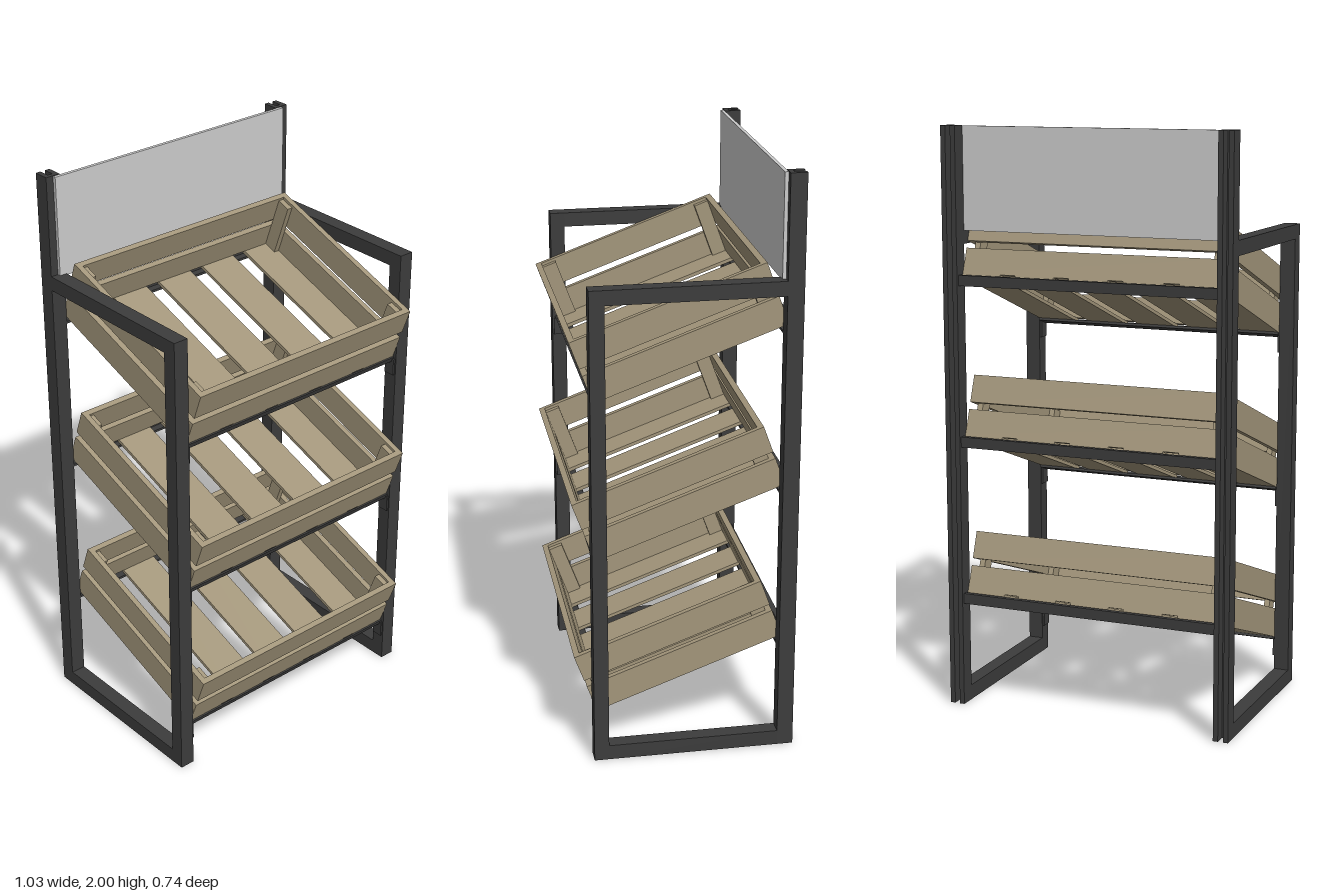
import * as THREE from 'three';

const metal = new THREE.MeshStandardMaterial({ color: 0x3c3c3c });
const wood = new THREE.MeshStandardMaterial({ color: 0xa3967b });
const grey = new THREE.MeshStandardMaterial({ color: 0xcccccc });

// Box given by its min / max corners
function box(parent, name, mat, [x0, x1], [y0, y1], [z0, z1]) {
  const mesh = new THREE.Mesh(new THREE.BoxGeometry(x1 - x0, y1 - y0, z1 - z0), mat);
  mesh.position.set((x0 + x1) / 2, (y0 + y1) / 2, (z0 + z1) / 2);
  mesh.name = name;
  parent.add(mesh);
  return mesh;
}

// Range mirrored to the given side
const side = (s, a, b) => (s > 0 ? [a, b] : [-b, -a]);

const TILT = THREE.MathUtils.degToRad(20);
const W = 0.46;   // half width of a crate
const L = 0.675;  // depth of a crate
const T = 0.02;   // board thickness

function sideFrame(s) {
  const g = new THREE.Group();
  g.name = s > 0 ? 'leftFrame' : 'rightFrame';
  const x = side(s, 0.462, 0.515);
  box(g, 'frontPost', metal, x, [0, 1.655], [0.265, 0.315]);
  box(g, 'topRail', metal, x, [1.605, 1.655], [-0.32, 0.265]);
  box(g, 'bottomRail', metal, x, [0, 0.052], [-0.32, 0.265]);

  // Tall back post: channel open to the rear
  const shape = new THREE.Shape([
    [-0.0265, -0.0275], [0.0265, -0.0275], [0.0265, 0.0275], [0.009, 0.0275],
    [0.009, -0.012], [-0.009, -0.012], [-0.009, 0.0275], [-0.0265, 0.0275],
  ].map(([a, b]) => new THREE.Vector2(a, b)));
  const geo = new THREE.ExtrudeGeometry(shape, { depth: 2, bevelEnabled: false });
  geo.rotateX(-Math.PI / 2);
  const post = new THREE.Mesh(geo, metal);
  post.name = 'backPost';
  post.position.set(s * 0.4885, 0, -0.3445);
  g.add(post);
  return g;
}

// Origin at the lower front edge, depth running to -z
function crate() {
  const g = new THREE.Group();
  g.name = 'crate';
  for (let i = -2; i <= 2; i++) {
    const c = i * 0.195;
    box(g, 'floorSlat', wood, [c - 0.07, c + 0.07], [0, 0.012], [-L, 0]);
  }
  for (const y of [[0.012, 0.1], [0.125, 0.22]]) {
    box(g, 'frontBoard', wood, [-W, W], y, [-T, 0]);
    box(g, 'backBoard', wood, [-W, W], y, [-L, -L + T]);
    for (const s of [-1, 1]) box(g, 'sideBoard', wood, side(s, W - T, W), y, [-L + T, -T]);
  }
  for (const s of [-1, 1]) {
    for (const z of [[-T - 0.05, -T], [-L + T, -L + T + 0.05]]) {
      box(g, 'cornerPost', wood, side(s, W - 2 * T, W - T), [0.012, 0.21], z);
    }
  }
  // Angle bar carrying the front edge
  box(g, 'frontBar', metal, [-W, W], [-0.009, 0], [-0.04, 0.006]);
  box(g, 'frontBarLip', metal, [-W, W], [-0.009, 0.01], [0.0005, 0.006]);
  g.rotation.x = TILT;
  return g;
}

export function createModel() {
  const model = new THREE.Group();
  model.name = 'displayRack';
  for (const s of [-1, 1]) model.add(sideFrame(s));

  // Three tilted crates with their supports
  for (let i = 0; i < 3; i++) {
    const shelf = new THREE.Group();
    shelf.name = 'shelf';
    shelf.position.y = i * 0.553;
    const c = crate();
    c.position.set(0, 0.16, 0.297);
    shelf.add(c);
    box(shelf, 'backBar', metal, [-W - 0.005, W + 0.005], [0.362, 0.37], [-0.362, -0.317]);
    box(shelf, 'backBarLip', metal, [-W - 0.005, W + 0.005], [0.37, 0.398], [-0.362, -0.345]);
    for (const s of [-1, 1]) {
      box(shelf, 'bracket', metal, side(s, 0.455, 0.465), [0.1, 0.16], [0.27, 0.31]);
    }
    model.add(shelf);
  }

  // Header panel between the tall posts
  box(model, 'headerPanel', grey, [-0.488, 0.488], [1.65, 1.998], [-0.317, -0.305]);
  return model;
}
